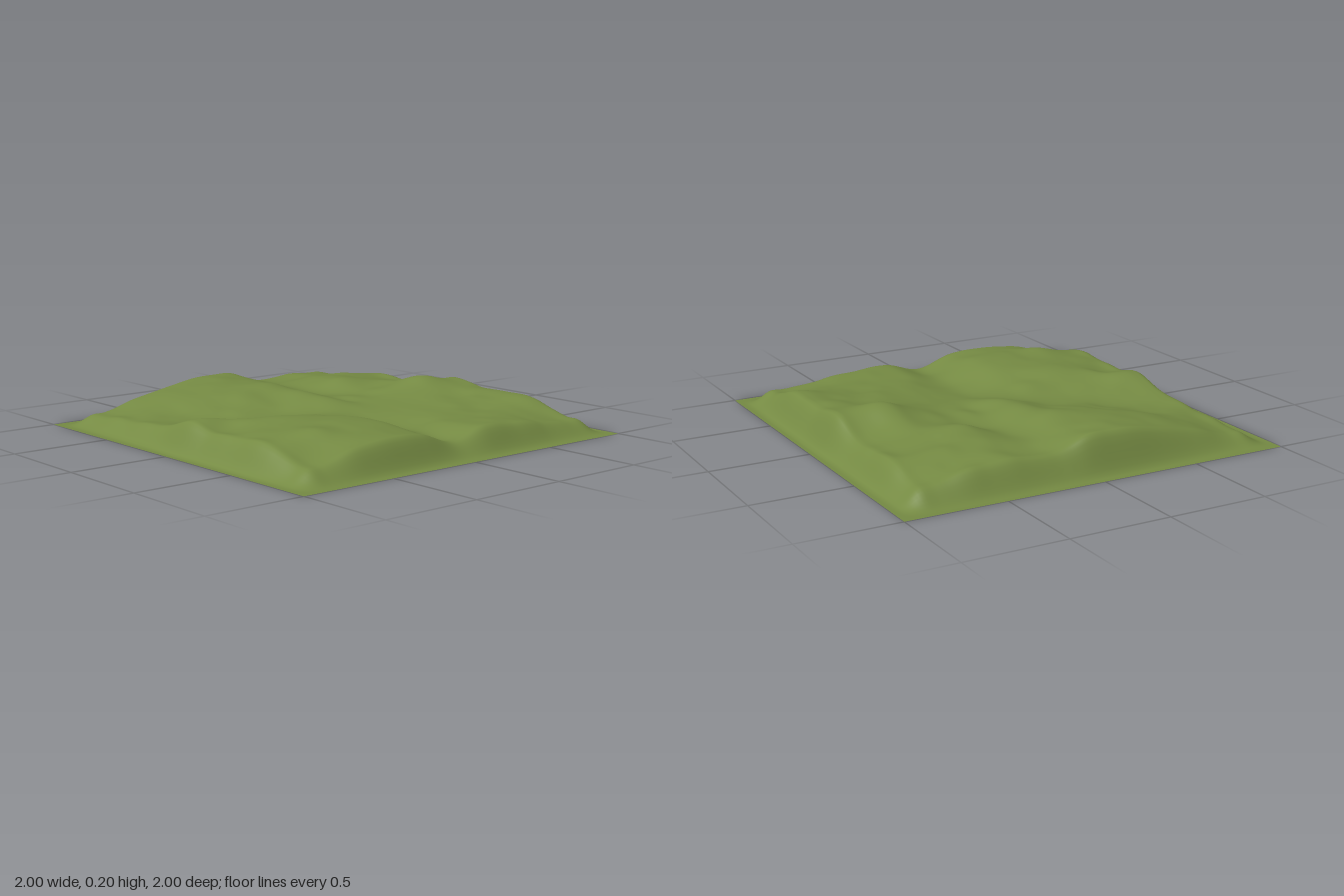
import * as THREE from 'three';

// Control heights in hundredths, every 0.2 units from -0.8 to 0.8 (rows run back to front)
const HEIGHTS = [
  [8, 12, 11, 11, 17, 15, 15, 13, 7],
  [12, 14, 14, 15, 19, 14, 12, 11, 9],
  [13, 15, 15, 12, 14, 12, 12, 11, 11],
  [12, 12, 11, 11, 12, 10, 10, 11, 12],
  [17, 16, 16, 15, 13, 9, 8, 8, 7],
  [18, 17, 16, 11, 10, 12, 15, 15, 13],
  [15, 15, 12, 9, 10, 15, 16, 16, 14],
  [11, 11, 8, 8, 12, 15, 15, 16, 12],
  [6, 7, 8, 10, 15, 12, 13, 13, 7],
];

// Small steps that fall towards the front left corner: x, z, radius, height
const STEPS = [
  [-0.35, -0.35, 0.08, 0.012], [-0.1, -0.38, 0.07, 0.01], [0.02, -0.6, 0.07, 0.008],
  [-0.1, -0.2, 0.06, 0.01], [-0.4, 0.1, 0.08, 0.012], [-0.02, 0, 0.08, 0.01],
  [0.15, 0.3, 0.06, 0.008], [0.65, 0.65, 0.08, 0.009], [-0.75, -0.4, 0.06, 0.008],
  [-0.8, 0.06, 0.06, 0.006], [0.1, 0.72, 0.07, 0.007], [0.6, -0.78, 0.07, 0.008],
];

// Catmull-Rom blend of four neighbouring values
function cubic(a, b, c, d, t) {
  return b + 0.5 * t * (c - a + t * (2 * a - 5 * b + 4 * c - d + t * (3 * (b - c) + d - a)));
}

// Smooth height between control points
function hills(x, z) {
  const u = THREE.MathUtils.clamp((x + 0.8) / 0.2, 0, 8);
  const v = THREE.MathUtils.clamp((z + 0.8) / 0.2, 0, 8);
  const i = Math.min(7, Math.floor(u)), j = Math.min(7, Math.floor(v));
  const at = (k) => THREE.MathUtils.clamp(k, 0, 8);
  const rows = [-1, 0, 1, 2].map((dj) => {
    const row = HEIGHTS[at(j + dj)];
    return cubic(row[at(i - 1)], row[i], row[i + 1], row[at(i + 2)], u - i);
  });
  return cubic(...rows, v - j) / 100;
}

// Each step is a rise next to a matching dip
function steps(x, z) {
  let sum = 0;
  for (const [cx, cz, r, h] of STEPS) {
    const dx = (x - cx) / r, dz = (z - cz) / r;
    sum -= h * (dx + dz) * Math.exp(-0.5 * (dx * dx + dz * dz));
  }
  return sum;
}

// Seeded lattice noise for the small lumps
function hash(i, j) {
  const s = Math.sin(i * 127.1 + j * 311.7 + 5.3) * 43758.5453;
  return (s - Math.floor(s)) * 2 - 1;
}
function noise(x, z) {
  const i = Math.floor(x), j = Math.floor(z);
  const s = THREE.MathUtils.smootherstep(x - i, 0, 1);
  const t = THREE.MathUtils.smootherstep(z - j, 0, 1);
  const lerp = THREE.MathUtils.lerp;
  return lerp(lerp(hash(i, j), hash(i + 1, j), s), lerp(hash(i, j + 1), hash(i + 1, j + 1), s), t);
}

// Flat rim, then a steep rounded bank up to the hills
function bank(x, z) {
  const rise = (c) => THREE.MathUtils.smoothstep(1 - Math.abs(c), 0.03, 0.155);
  return rise(x) * rise(z);
}

export function createModel() {
  const group = new THREE.Group();
  group.name = 'terrainTile';

  const grass = new THREE.MeshStandardMaterial({ color: 0x758a43, side: THREE.DoubleSide });
  grass.name = 'grassGreen';

  // Open ground sheet, raised point by point
  const geometry = new THREE.PlaneGeometry(2, 2, 128, 128).rotateX(-Math.PI / 2);
  const p = geometry.attributes.position;
  for (let k = 0; k < p.count; k++) {
    const x = p.getX(k), z = p.getZ(k);
    const lumps = 0.005 * noise(x * 8 + 3, z * 8);
    p.setY(k, bank(x, z) * (hills(x, z) + steps(x, z) + lumps));
  }
  geometry.computeVertexNormals();

  const ground = new THREE.Mesh(geometry, grass);
  ground.name = 'hillyGround';
  group.add(ground);
  return group;
}
